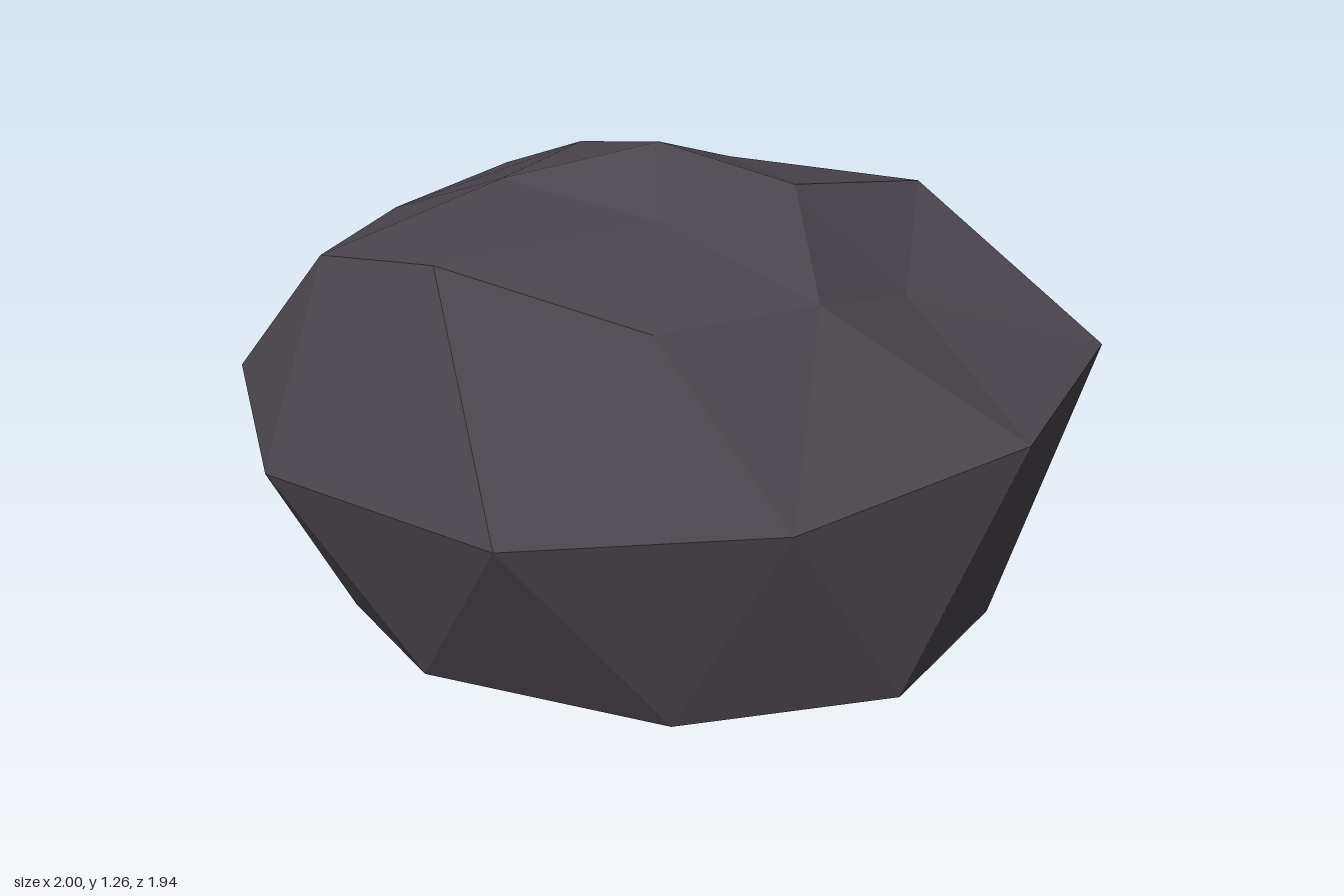
import * as THREE from 'three';

// Rings of [x, y, z], each running from +x towards +z
const top = [-0.05, 1.26, 0.02];
const upperInner = [
  [0.23, 1.16, 0.02], [0.05, 1.19, 0.32], [-0.27, 1.16, 0.19], [-0.35, 1.21, -0.19], [0.04, 1.19, -0.28],
];
const upperOuter = [
  [0.57, 1.03, 0], [0.47, 1.11, 0.4], [0.15, 0.95, 0.56], [-0.22, 1.04, 0.56], [-0.6, 1.06, 0.41],
  [-0.8, 1.18, 0.02], [-0.67, 1.07, -0.44], [-0.26, 1.04, -0.61], [0.16, 1.05, -0.62], [0.43, 1.08, -0.35],
];
const waist = [
  [1, 0.78, 0.3], [0.54, 0.78, 0.87], [-0.03, 0.76, 0.97], [-0.6, 0.72, 0.75], [-0.98, 0.71, 0.31],
  [-1, 0.71, -0.3], [-0.64, 0.72, -0.77], [-0.07, 0.72, -0.97], [0.57, 0.755, -0.86], [0.94, 0.78, -0.29],
];
const lowerOuter = [
  [0.77, 0.17, 0], [0.72, 0.235, 0.53], [0.2, 0.195, 0.79], [-0.32, 0.25, 0.85], [-0.66, 0.22, 0.5],
  [-0.87, 0.27, 0], [-0.66, 0.2, -0.42], [-0.31, 0.17, -0.84], [0.18, 0.08, -0.83], [0.69, 0.16, -0.58],
];
const lowerInner = [
  [0.28, 0.04, 0.3], [-0.18, 0.04, 0.4], [-0.43, 0.11, 0], [-0.2, 0.08, -0.42], [0.32, 0.075, -0.3],
];
const bottom = [-0.06, 0, 0.02];

// One half of the stone: pole, ring of 5, ring of 10, then the waist.
// shift picks which outer corners carry the inner ring; flip turns faces downward.
function addHalf(out, pole, inner, outer, shift, flip) {
  const at = (ring, i) => ring[(i + ring.length) % ring.length];
  const tri = (a, b, c) => (flip ? out.push(...a, ...c, ...b) : out.push(...a, ...b, ...c));
  for (let k = 0; k < 10; k++) {
    tri(at(outer, k), at(waist, k), at(waist, k - 1));
    tri(at(outer, k), at(outer, k + 1), at(waist, k));
  }
  for (let j = 0; j < 5; j++) {
    const k = 2 * j + shift;
    const a = inner[j], b = at(inner, j + 1);
    tri(a, at(outer, k + 1), at(outer, k));
    tri(a, at(outer, k), at(outer, k - 1));
    tri(at(outer, k + 1), a, b);
    tri(pole, b, a);
  }
}

export function createModel() {
  const group = new THREE.Group();
  group.name = 'rock';

  const stone = new THREE.MeshStandardMaterial({ color: 0x4b454d, flatShading: true });
  stone.name = 'dark stone';

  const positions = [];
  addHalf(positions, top, upperInner, upperOuter, 0, false);
  addHalf(positions, bottom, lowerInner, lowerOuter, 1, true);

  // Unshared corners give flat facets
  const geometry = new THREE.BufferGeometry();
  geometry.setAttribute('position', new THREE.Float32BufferAttribute(positions, 3));
  geometry.computeVertexNormals();

  const boulder = new THREE.Mesh(geometry, stone);
  boulder.name = 'boulder';
  group.add(boulder);
  return group;
}
